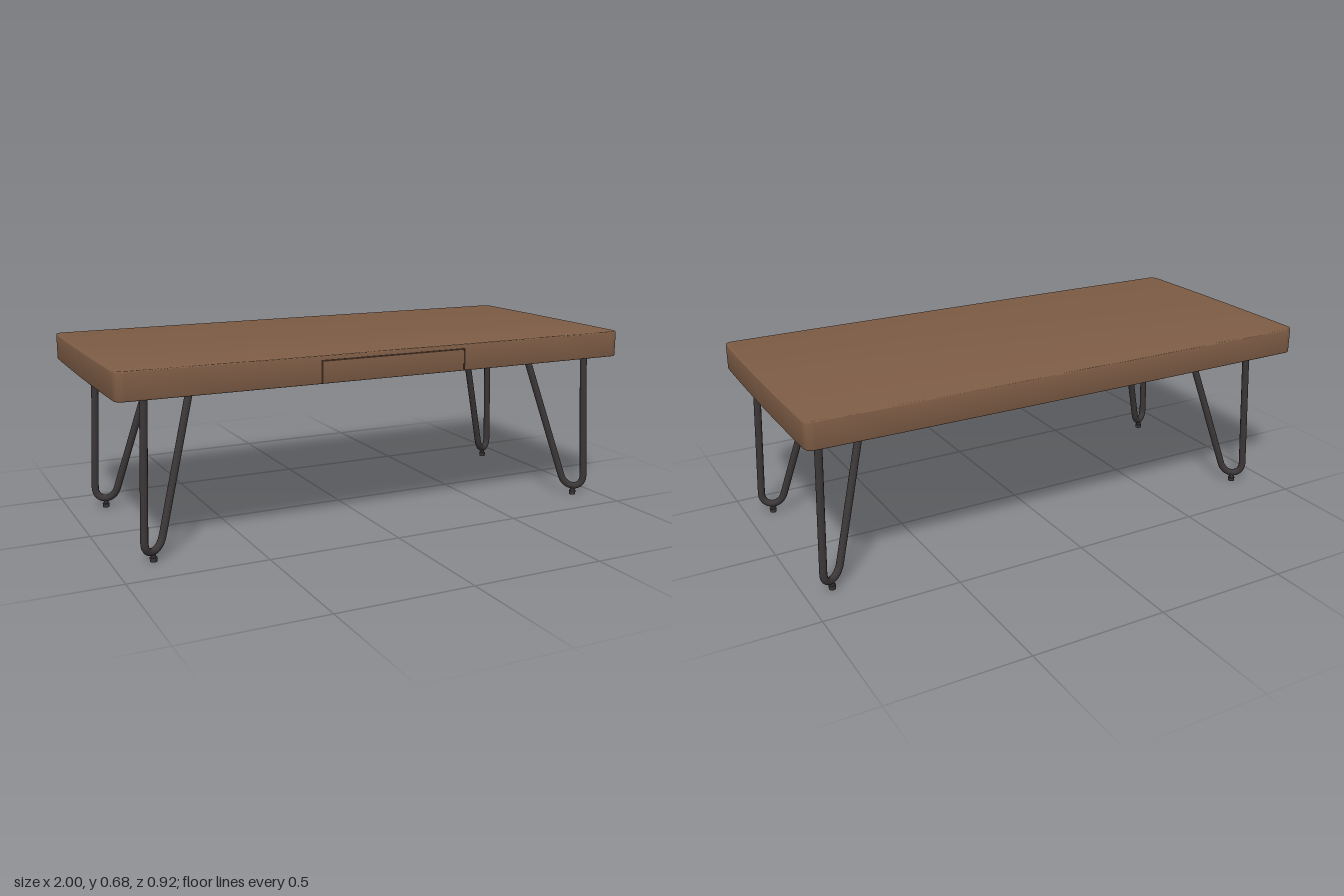
import * as THREE from 'three';
import { toCreasedNormals } from 'three/addons/utils/BufferGeometryUtils.js';

const wood = new THREE.MeshStandardMaterial({ name: 'walnut wood', color: 0x7d5c45 });
const gap = new THREE.MeshStandardMaterial({ name: 'dark gap', color: 0x3a291f });
const iron = new THREE.MeshStandardMaterial({ name: 'dark iron', color: 0x3b3637 });

function add(parent, name, geometry, material, x = 0, y = 0, z = 0) {
  const mesh = new THREE.Mesh(geometry, material);
  mesh.name = name;
  mesh.position.set(x, y, z);
  parent.add(mesh);
  return mesh;
}

// Rounded rectangle outline with very slightly bowed sides
function topOutline(w, d, r, bow) {
  const a = w - bow, b = d - bow;
  const s = new THREE.Shape();
  s.moveTo(-a + r, -b);
  s.quadraticCurveTo(0, -b - 2 * bow, a - r, -b);
  s.quadraticCurveTo(a, -b, a, -b + r);
  s.quadraticCurveTo(a + 2 * bow, 0, a, b - r);
  s.quadraticCurveTo(a, b, a - r, b);
  s.quadraticCurveTo(0, b + 2 * bow, -a + r, b);
  s.quadraticCurveTo(-a, b, -a, b - r);
  s.quadraticCurveTo(-a - 2 * bow, 0, -a, -b + r);
  s.quadraticCurveTo(-a, -b, -a + r, -b);
  return s;
}

// Hairpin leg around its foot, spreading inwards along sx, sz
function hairpinLeg(sx, sz) {
  const leg = new THREE.Group();
  const p = (s, y) => new THREE.Vector3(-sx * s, y, -sz * s * 0.575);
  const path = new THREE.CurvePath();
  path.add(new THREE.LineCurve3(p(-0.013, 0.59), p(-0.035, 0.08)));
  path.add(new THREE.CubicBezierCurve3(p(-0.035, 0.08), p(-0.037, 0.021), p(0.026, 0.021), p(0.042, 0.08)));
  path.add(new THREE.LineCurve3(p(0.042, 0.08), p(0.187, 0.59)));
  add(leg, 'hairpinRod', new THREE.TubeGeometry(path, 120, 0.0135, 14, false), iron);
  add(leg, 'footNeck', new THREE.CylinderGeometry(0.009, 0.009, 0.016, 16), iron, 0, 0.018, 0);
  add(leg, 'footPad', new THREE.CylinderGeometry(0.0135, 0.012, 0.015, 20), iron, 0, 0.0075, 0);
  return leg;
}

export function createModel() {
  const model = new THREE.Group();
  model.name = 'coffeeTable';

  // Table top with softened edges
  const e = 0.004;
  const slab = new THREE.ExtrudeGeometry(topOutline(1, 0.462, 0.035, 0.005), {
    depth: 0.098 - 2 * e, bevelEnabled: true, bevelThickness: e, bevelSize: e,
    bevelOffset: -e, bevelSegments: 3, curveSegments: 12,
  });
  slab.rotateX(-Math.PI / 2);
  add(model, 'tableTop', toCreasedNormals(slab, 0.7), wood, 0, 0.584 + e, 0);

  // Gaps outlining the drawer front
  const drawer = new THREE.Group();
  drawer.name = 'drawerOutline';
  model.add(drawer);
  add(drawer, 'drawerTopGap', new THREE.BoxGeometry(0.574, 0.006, 0.003), gap, 0, 0.664, 0.461);
  for (const s of [-1, 1])
    add(drawer, 'drawerSideGap', new THREE.BoxGeometry(0.006, 0.078, 0.003), gap, s * 0.284, 0.626, 0.461);

  // Four legs in diagonal planes
  for (const sx of [-1, 1]) for (const sz of [-1, 1]) {
    const leg = hairpinLeg(sx, sz);
    leg.name = (sz > 0 ? 'front' : 'back') + (sx > 0 ? 'Left' : 'Right') + 'Leg';
    leg.position.set(0.019 + sx * 0.881, 0, 0.01 + sz * 0.332);
    model.add(leg);
  }
  return model;
}
